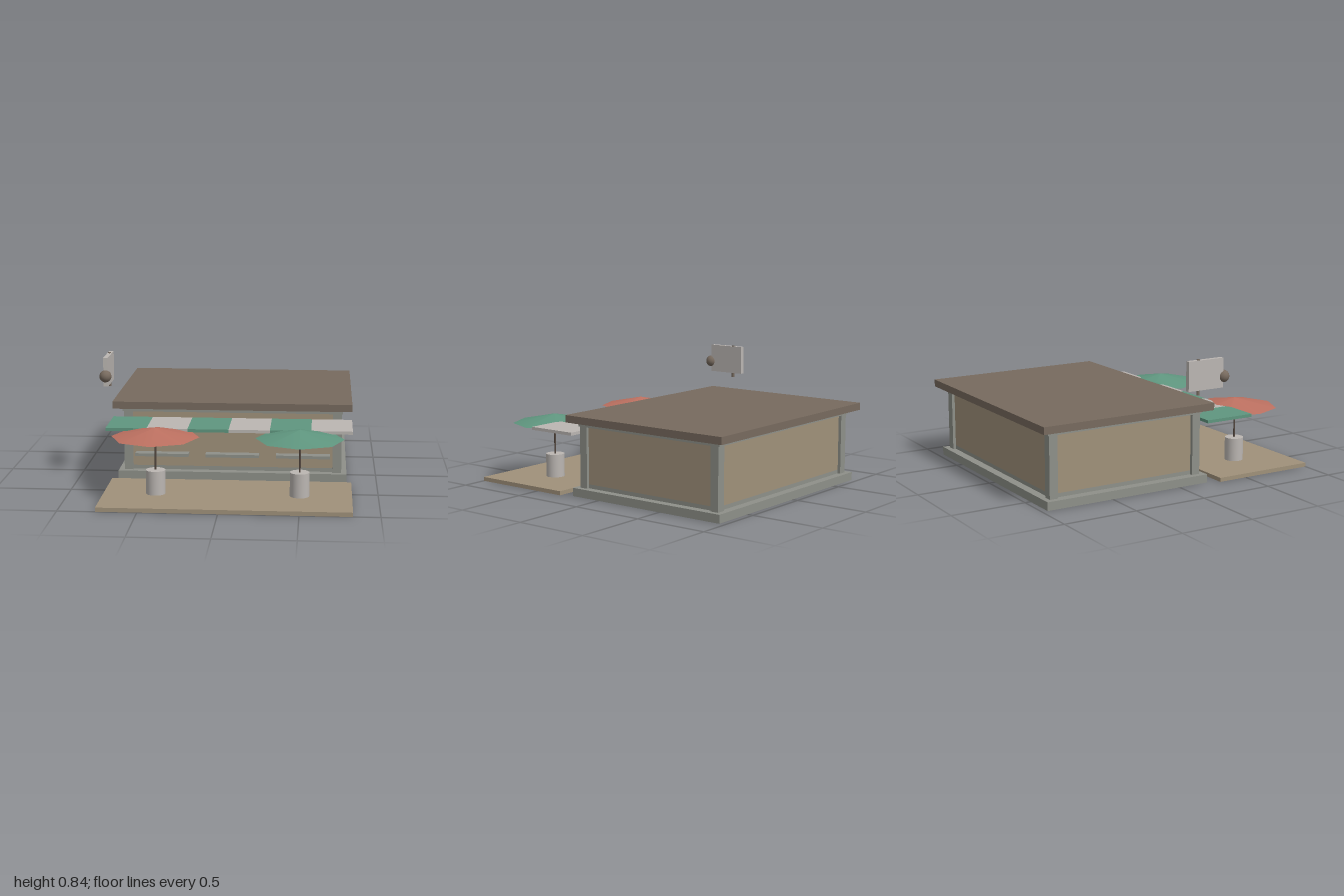
import * as THREE from 'three';

const mat = (name, color) => new THREE.MeshStandardMaterial({ name, color });

export function createModel() {
  const tan = mat('tan', 0xa0917a);
  const stone = mat('stone grey', 0x8e9089);
  const brown = mat('roof brown', 0x776a5e);
  const dark = mat('dark pole', 0x544840);
  const pale = mat('pale grey', 0xbbb6b2);
  const green = mat('green', 0x5f967f);
  const red = mat('red', 0xbc7060);

  const model = new THREE.Group();
  model.name = 'cafe';

  function add(name, geometry, material, x = 0, y = 0, z = 0, parent = model) {
    const mesh = new THREE.Mesh(geometry, material);
    mesh.name = name;
    mesh.position.set(x, y, z);
    parent.add(mesh);
    return mesh;
  }
  // Box given by its limits on each axis
  function box(name, material, [x0, x1], [y0, y1], [z0, z1], parent = model) {
    return add(name, new THREE.BoxGeometry(x1 - x0, y1 - y0, z1 - z0), material,
      (x0 + x1) / 2, (y0 + y1) / 2, (z0 + z1) / 2, parent);
  }

  // Terrace and building base
  box('terrace', tan, [-0.76, 0.83], [0, 0.027], [0.295, 1]);
  box('plinth', stone, [-0.73, 0.8], [0.002, 0.057], [-0.965, 0.21]);
  box('floor', tan, [-0.72, 0.79], [0, 0.03], [-0.955, 0.2]);

  // Walls, set back between corner posts
  box('sill', stone, [-0.67, 0.745], [0.055, 0.083], [-0.91, 0.15]);
  box('walls', tan, [-0.67, 0.745], [0.083, 0.462], [-0.91, 0.15]);
  for (const x of [[-0.693, -0.635], [0.705, 0.765]])
    for (const z of [[-0.93, -0.872], [0.117, 0.173]])
      box('cornerPost', stone, x, [0.055, 0.462], z);

  // Top beam and flat roof
  box('topBeam', stone, [-0.7, 0.77], [0.46, 0.489], [-0.94, 0.182]);
  box('roof', brown, [-0.76, 0.83], [0.488, 0.536], [-1, 0.237]);

  // Striped awning
  const awning = new THREE.Group();
  awning.name = 'awning';
  model.add(awning);
  const stripe = 1.59 / 6;
  for (let i = 0; i < 6; i++) {
    const x = -0.76 + i * stripe;
    box('awningStripe', i % 2 ? pale : green, [x, x + stripe], [0.406, 0.426], [0.19, 0.536], awning);
  }

  // Three ledges on the front wall
  for (const x of [-0.436, 0.036, 0.508])
    box('ledge', stone, [x - 0.179, x + 0.179], [0.16, 0.18], [0.14, 0.216]);

  // Parasols standing in round blocks
  function parasol(x, material) {
    const group = new THREE.Group();
    group.name = 'parasol';
    group.position.set(x, 0, 0.645);
    model.add(group);
    add('parasolBase', new THREE.CylinderGeometry(0.0625, 0.0625, 0.16, 24), pale, 0, 0.103, 0, group);
    add('parasolPole', new THREE.CylinderGeometry(0.006, 0.006, 0.26, 8), dark, 0, 0.31, 0, group);
    add('parasolCanopy', new THREE.ConeGeometry(0.282, 0.06, 8), material, 0, 0.429, 0, group);
  }
  parasol(-0.424, red);
  parasol(0.496, green);

  // Hanging sign with a rod and a ball lamp
  const sign = new THREE.Group();
  sign.name = 'sign';
  model.add(sign);
  box('signBoard', pale, [-0.811, -0.781], [0.643, 0.836], [0.003, 0.267], sign);
  add('signRod', new THREE.CylinderGeometry(0.01, 0.01, 0.23, 8), brown, -0.796, 0.726, 0.083, sign);
  add('signBall', new THREE.SphereGeometry(0.04, 16, 12), brown, -0.796, 0.714, 0.277, sign);

  return model;
}
